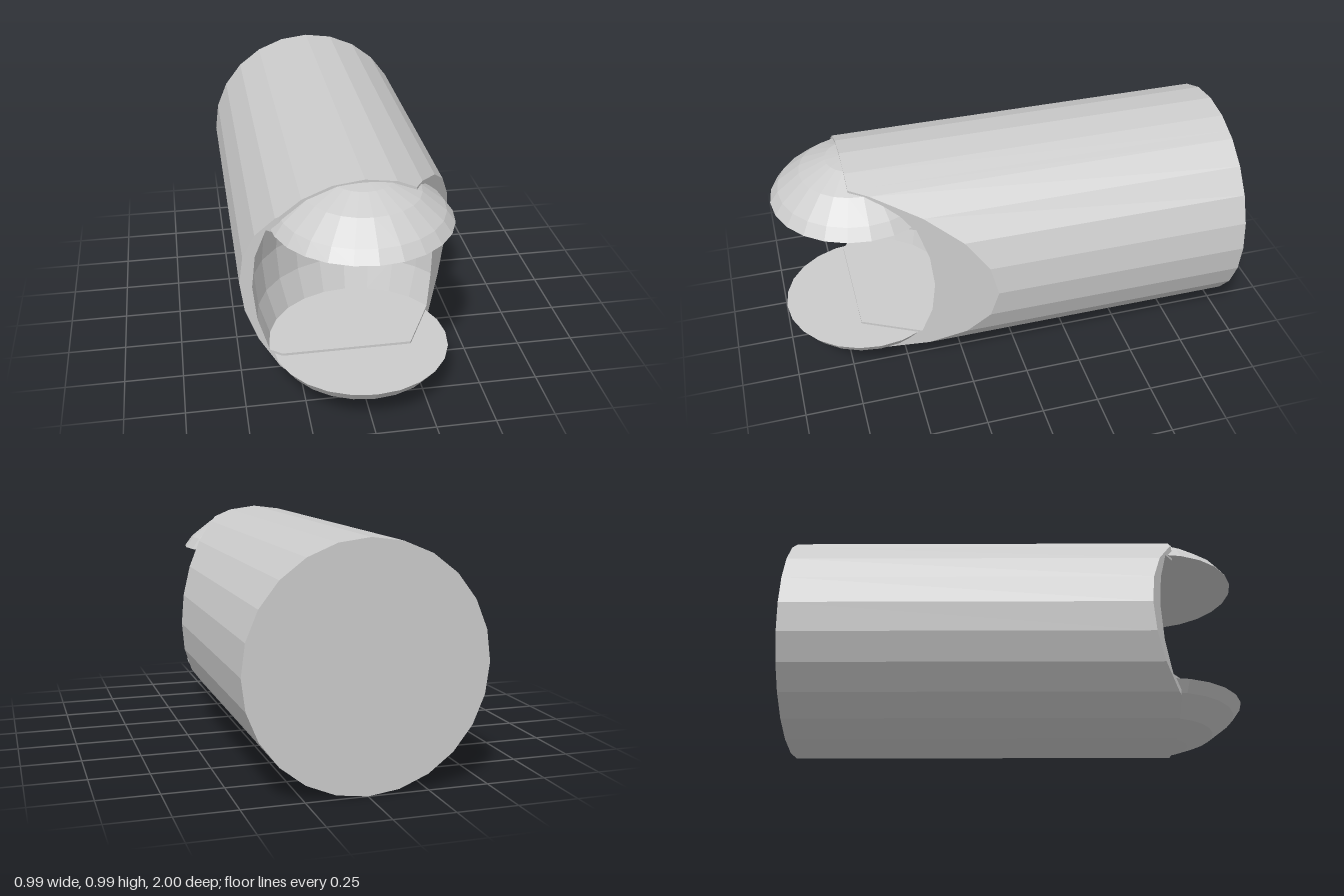
import * as THREE from 'three';

const R = 0.493, STEP = Math.PI / 12;           // 24-sided barrel
const KINK_L = -0.335, KINK_R = 0.205, FRONT = 0.69, BACK = -1;
const BALL_Z = 0.63, SOCKET_R = 0.444, SOCKET_H = 0.57;

// Depth of the bevelled front end at x
const frontZ = x => x < KINK_L ? FRONT + (x - KINK_L) * 0.74
  : x > KINK_R ? FRONT - (x - KINK_R) * 1.95 : FRONT;

// Half height of the 24-sided section at x
function halfHeight(x) {
  let h = Infinity;
  for (let k = 0; k < 12; k++) {
    const m = (k + 0.5) * STEP;
    h = Math.min(h, (R * Math.cos(STEP / 2) - x * Math.cos(m)) / Math.sin(m));
  }
  return Math.max(0, h);
}

// Section x positions, with the bevel lines added
const xs = [KINK_L, KINK_R];
for (let k = 0; k <= 12; k++) xs.push(R * Math.cos(k * STEP));
xs.sort((a, b) => a - b);

// Point on the socket wall: row latitude, angle from the back
function socketPoint(lat, t) {
  const r = SOCKET_R * Math.cos(lat);
  return [r * Math.sin(t), SOCKET_H * Math.sin(lat), BALL_Z - r * Math.cos(t)];
}

// Angle at which a socket row meets the bevelled front
function rimAngle(lat, side) {
  let lo = 0, hi = Math.PI * 0.7;
  for (let i = 0; i < 40; i++) {
    const mid = (lo + hi) / 2;
    const [x, , z] = socketPoint(lat, side * mid);
    if (z < frontZ(x)) lo = mid; else hi = mid;
  }
  return side * lo;
}

// Socket rows, each running from the left rim to the right rim
const rows = [];
for (let j = -2; j <= 2; j++) {
  const lat = j * STEP, a0 = rimAngle(lat, -1), a1 = rimAngle(lat, 1);
  const row = [];
  for (let c = -7; c <= 5; c++) {
    row.push(socketPoint(lat, Math.min(a1, Math.max(a0, c * STEP))));
  }
  rows.push(row);
}

function quads(list) {
  const pos = [];
  for (const [a, b, c, d] of list) pos.push(...a, ...b, ...c, ...a, ...c, ...d);
  const g = new THREE.BufferGeometry();
  g.setAttribute('position', new THREE.Float32BufferAttribute(pos, 3));
  g.computeVertexNormals();
  return g;
}

const flat = pts => new THREE.ShapeGeometry(
  new THREE.Shape(pts.map(p => new THREE.Vector2(p[0], p[1]))));

export function createModel() {
  const model = new THREE.Group();
  model.name = 'barrelWithBall';
  const material = new THREE.MeshStandardMaterial({
    color: 0xcccccc, flatShading: true, side: THREE.DoubleSide });
  const add = (name, geometry) => {
    const mesh = new THREE.Mesh(geometry, material);
    mesh.name = name;
    mesh.position.y = R;
    model.add(mesh);
    return mesh;
  };

  // Barrel sides, ending on the bevels
  const loop = [
    ...xs.slice().reverse().map(x => [x, halfHeight(x)]),
    ...xs.slice(1, -1).map(x => [x, -halfHeight(x)])];
  add('barrelSides', quads(loop.map((p, i) => {
    const q = loop[(i + 1) % loop.length];
    return [[...p, BACK], [...q, BACK], [...q, frontZ(q[0])], [...p, frontZ(p[0])]];
  })));
  add('barrelBack', new THREE.CircleGeometry(R, 24).rotateY(Math.PI).translate(0, 0, BACK));

  // Front faces: left and right bevels around the opening, flats above and below it
  const slot = SOCKET_H * Math.sin(2 * STEP);
  const addFront = (name, pts) => {
    const g = flat(pts), p = g.attributes.position;
    for (let i = 0; i < p.count; i++) p.setZ(i, frontZ(p.getX(i)));
    g.computeVertexNormals();
    add(name, g);
  };
  for (const [name, kink, inside, pick] of [
    ['rightBevel', KINK_L, x => x <= KINK_L, r => r[0]],
    ['leftBevel', KINK_R, x => x >= KINK_R, r => r[r.length - 1]]]) {
    const part = xs.filter(inside);
    if (kink === KINK_R) part.reverse();          // from the outer edge to the kink
    addFront(name, [
      ...part.slice().reverse().map(x => [x, halfHeight(x)]),
      ...part.slice(1).map(x => [x, -halfHeight(x)]),
      [kink, -slot], ...rows.map(pick), [kink, slot]]);
  }
  const middle = xs.filter(x => x >= KINK_L && x <= KINK_R);
  for (const s of [1, -1]) {
    addFront(s > 0 ? 'upperFront' : 'lowerFront', [
      [KINK_L, s * slot], [KINK_R, s * slot],
      ...middle.slice().reverse().map(x => [x, s * halfHeight(x)])]);
  }

  // Hollow socket wall
  const wall = [];
  for (let j = 0; j < rows.length - 1; j++) {
    for (let c = 0; c < rows[j].length - 1; c++) {
      const [a, b, d, e] = [rows[j][c], rows[j][c + 1], rows[j + 1][c + 1], rows[j + 1][c]];
      if (a[0] !== b[0] || d[0] !== e[0]) wall.push([a, b, d, e]);
    }
  }
  add('socketWall', quads(wall));

  // Socket floor and ceiling
  for (const s of [1, -1]) {
    const row = rows[s > 0 ? 0 : 4].filter((p, i, all) => !i || p[0] !== all[i - 1][0]);
    const pts = [...row.map(p => [p[0], -s * p[2]]),
      [KINK_R, -s * FRONT], [KINK_L, -s * FRONT]];
    add(s > 0 ? 'socketFloor' : 'socketCeiling',
      flat(pts).rotateX(-s * Math.PI / 2).translate(0, -s * slot, 0));
  }

  // Ball caps above and below the socket
  const profile = [new THREE.Vector2(0, 0.296), new THREE.Vector2(0.37, 0.296)];
  for (let k = 3; k <= 6; k++) {
    profile.push(new THREE.Vector2(k === 6 ? 0 : 0.472 * Math.cos(k * STEP), 0.489 * Math.sin(k * STEP)));
  }
  const cap = new THREE.LatheGeometry(profile, 24);
  for (const name of ['upperBallCap', 'lowerBallCap']) {
    const mesh = add(name, cap);
    mesh.position.z = BALL_Z;
    if (name === 'lowerBallCap') mesh.rotation.z = Math.PI;
  }
  return model;
}
